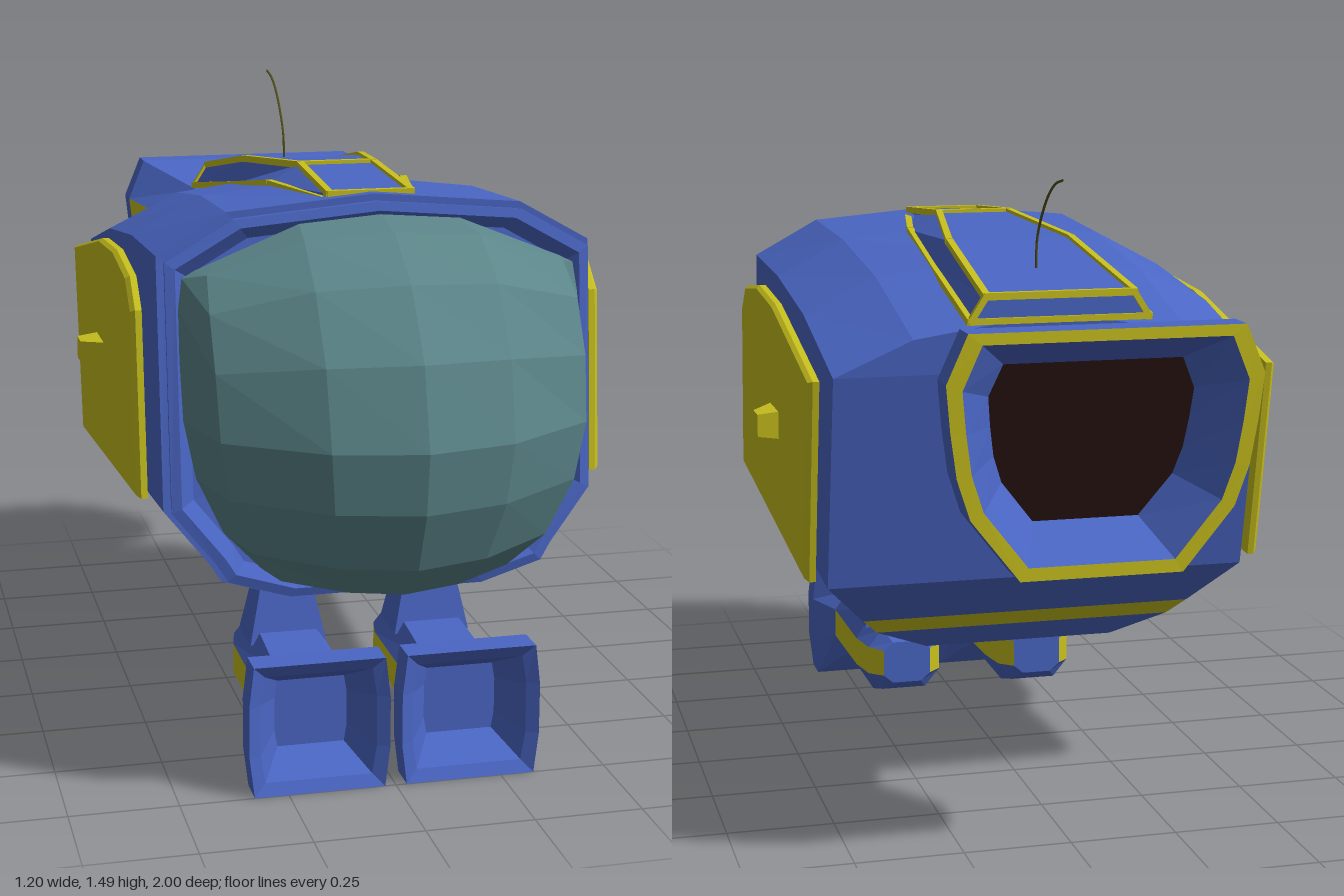
import * as THREE from 'three';

const mat = (color) => new THREE.MeshStandardMaterial({ color, flatShading: true, side: THREE.DoubleSide });
const blue = mat(0x4a66c4), yellow = mat(0xc8c01e), glass = mat(0x5c868a), dark = mat(0x241210), wire = mat(0x55511a);
const V = (x, y, z) => new THREE.Vector3(x, y, z);

function meshFrom(name, tris, material) {
  const geo = new THREE.BufferGeometry().setFromPoints(tris);
  geo.computeVertexNormals();
  const mesh = new THREE.Mesh(geo, material);
  mesh.name = name;
  return mesh;
}

// Skin between successive rings; keep(i) chooses the columns
function loft(name, rings, material, keep = () => true, closed = true) {
  const tris = [], n = rings[0].length;
  for (let r = 0; r < rings.length - 1; r++) {
    for (let i = 0; i < (closed ? n : n - 1); i++) {
      if (!keep(i)) continue;
      const j = (i + 1) % n, [a, b, c, d] = [rings[r][i], rings[r][j], rings[r + 1][j], rings[r + 1][i]];
      tris.push(a, d, c, a, c, b);
    }
  }
  return meshFrom(name, tris, material);
}

// Fan that closes a ring
function cap(name, ring, material, front) {
  const mid = ring.reduce((s, p) => s.add(p), V(0, 0, 0)).divideScalar(ring.length);
  const tris = [];
  ring.forEach((p, i) => {
    const q = ring[(i + 1) % ring.length];
    tris.push(mid, front ? p : q, front ? q : p);
  });
  return meshFrom(name, tris, material);
}

// Full counter-clockwise ring from its +x half, listed bottom to top
const mirrorRing = (half) =>
  [...half, ...[...half].reverse().filter((p) => p.x > 0).map((p) => V(-p.x, p.y, p.z))];

// Thin square bar between two points
function bar(name, a, b, size, material) {
  const mesh = new THREE.Mesh(new THREE.BoxGeometry(size, size, a.distanceTo(b) + size * 0.6), material);
  mesh.position.copy(a).lerp(b, 0.5);
  mesh.lookAt(b);
  mesh.name = name;
  return mesh;
}

function hull() {
  const g = new THREE.Group();
  g.name = 'hull';
  const front = [[.23, .43, .615], [.375, .475, .615], [.4, .515, .61], [.5, .64, .59], [.5, 1.21, .54], [.34, 1.3, .53], [0, 1.33, .53]]
    .map((p) => V(...p));
  const rear = [[.23, .35, -.29], [.36, .405, -.335], [.4, .445, -.37], [.5, .555, -.465], [.5, 1.06, -.57], [.32, 1.14, -.575], [0, 1.19, -.58]]
    .map((p) => V(...p));
  const halves = [[0, 0], [.32, .035], [.66, .04], [1, 0]].map(([t, arch]) =>
    front.map((p, i) => p.clone().lerp(rear[i], t).add(V(0, i > 3 ? arch : 0, 0))));
  const rings = halves.map(mirrorRing);
  const stripe = (i) => i === 1 || i === 10;
  g.add(loft('hullShell', rings, blue, (i) => !stripe(i)), loft('hullStripe', rings, yellow, stripe));
  // Rear wall in rows, so that the stripe wraps around it
  for (let i = 0; i < 6; i++) {
    const [a, b] = [rear[i], rear[i + 1]], [c, d] = [a, b].map((p) => V(-p.x, p.y, p.z));
    g.add(meshFrom(i === 1 ? 'rearStripe' : 'rearWall', [a, c, d, a, d, b], i === 1 ? yellow : blue));
  }
  // Window frame stepping inward from the front edge
  const inset = (s, dz) => rings[0].map((p) => V(p.x * s, .87 + (p.y - .87) * s, p.z + dz));
  const frame = [inset(.87, .02), inset(.93, .045), inset(.975, .04), inset(.965, 0), rings[0]];
  g.add(loft('windowFrame', frame, blue), cap('windowBacking', frame[0], blue, true));
  return g;
}

function windowDome() {
  // Rows: z, y, half width
  const rows = [[.575, 1.29, .42], [.7, 1.27, .45], [.84, 1.18, .46], [.95, 1.03, .46], [1, .85, .455],
    [.98, .71, .43], [.92, .57, .37], [.81, .48, .29], [.655, .445, .21]];
  // Columns: width share, depth share, height share above and below the middle
  const side = [[1, 0, .74, .93], [.9, .53, .78, .94], [.44, .89, .965, .98]];
  const cols = [...side.map(([x, ...k]) => [-x, ...k]), [0, 1, 1, 1], ...[...side].reverse()];
  const grid = rows.map(([z, y, w], r) => {
    const base = .575 + .065 * r / 8;
    return cols.map(([cx, kz, up, down]) =>
      V(w * cx, .87 + (y - .87) * (y > .87 ? up : down), base + (z - base) * kz));
  });
  return loft('windowDome', grid, glass, undefined, false);
}

function spine() {
  const g = new THREE.Group();
  g.name = 'spine';
  // z, top half width, top y, base half width, base y
  const secs = [[.485, .095, 1.325, .1, 1.31], [.16, .09, 1.347, .165, 1.305], [-.2, .15, 1.315, .185, 1.25], [-.635, .17, 1.24, .205, 1.185]];
  const rings = secs.map(([z, tw, ty, bw, by]) => [V(bw, by, z), V(tw, ty, z), V(-tw, ty, z), V(-bw, by, z)]);
  g.add(loft('spineShell', rings, blue), cap('spineFront', rings[0], blue, true), cap('spineRear', rings[3], blue, false));
  for (let r = 0; r < 3; r++)
    for (let i = 0; i < 4; i++) g.add(bar('spineTrim', rings[r][i], rings[r + 1][i], .016, yellow));
  for (const r of [0, 1, 3]) g.add(bar('spineCrossTrim', rings[r][1], rings[r][2], .016, yellow));
  for (const i of [0, 2, 3]) g.add(bar('spineEndTrim', rings[3][i], rings[3][(i + 1) % 4], .014, yellow));
  return g;
}

function antenna() {
  const path = new THREE.CatmullRomCurve3([V(0, 1.27, -.435), V(0, 1.34, -.44), V(0, 1.43, -.51), V(0, 1.475, -.58), V(0, 1.49, -.645)]);
  const mesh = new THREE.Mesh(new THREE.TubeGeometry(path, 16, .003, 5), wire);
  mesh.name = 'antenna';
  return mesh;
}

// Door plate with a wedge handle on one side
function sideDoor(s) {
  const g = new THREE.Group();
  g.name = s > 0 ? 'leftDoor' : 'rightDoor';
  const pts = [[-.45, .57], [-.54, 1.05], [-.03, 1.155], [.22, 1.17], [.42, 1.145], [.49, 1.08], [.53, .655]];
  const layer = (x, k) => pts.map(([z, y]) => V(s * x, .88 + (y - .88) * k, z * k));
  const rings = [layer(.525, 1), layer(.54, 1), layer(.55, .975)];
  if (s < 0) rings.forEach((r) => r.reverse());
  rings.reverse();
  g.add(loft('doorPlate', rings, yellow), cap('doorFace', rings[0], yellow, true), cap('doorBack', rings[2], yellow, false));
  const quad = (x, z0, z1, h) => [[z0, -h], [z0, h], [z1, h], [z1, -h]].map(([z, y]) => V(s * x, .872 + y, z));
  const handle = [quad(.6, -.1, -.035, .027), quad(.545, -.105, .025, .034)];
  if (s < 0) handle.forEach((r) => r.reverse());
  g.add(loft('doorHandle', handle, yellow), cap('handleTip', handle[0], yellow, true));
  return g;
}

function tailThruster() {
  const g = new THREE.Group();
  g.name = 'tailThruster';
  const neck = [[.13, .735], [.215, .86], [.24, .915], [.24, .995], [.235, 1.06], [.17, 1.16]];
  const waist = [[.13, .785], [.2, .87], [.235, .915], [.235, 1], [.23, 1.055], [.17, 1.145]];
  const rim = [[.18, .68], [.29, .82], [.32, .91], [.335, 1.01], [.345, 1.11], [.3, 1.215]];
  const ring = (pts, zTop, slope, k = 1) =>
    mirrorRing(pts.map(([x, y]) => V(x * k, .97 + (y - .97) * k, zTop + slope * (1.2 - y))));
  const rings = [ring(neck, -.6, .17), ring(neck, -.71, .2), ring(waist, -.83, .2), ring(rim, -.925, .1),
    ring(rim, -1, .065), ring(rim, -1, .065, .9), ring(rim, -.89, .1, .66)];
  const band = (i) => [1, 3, 7, 9].includes(i);
  g.add(loft('tailBody', rings.slice(0, 4), blue, (i) => !band(i)), loft('tailBands', rings.slice(0, 4), yellow, band));
  g.add(loft('tailRim', rings.slice(3, 5), blue), loft('tailRimEdge', rings.slice(4, 6), yellow));
  g.add(loft('tailFunnel', rings.slice(5), blue), cap('tailThroat', rings[6], dark, false), cap('tailFront', rings[0], blue, true));
  return g;
}

function lowerThruster(s) {
  const g = new THREE.Group();
  g.name = s > 0 ? 'leftLowerThruster' : 'rightLowerThruster';
  // z, centre y, half width, half height, corner share, band half height; throat out to rim, then back to the tip
  const secs = [[.65, .16, .085, .08, .92, .04], [.735, .157, .135, .127, .92, .06], [.75, .157, .163, .155, .93, .06],
    [.675, .157, .163, .155, .93, .06], [.62, .16, .11, .09, .65, .038], [.3, .17, .112, .107, .6, .036],
    [.22, .167, .095, .082, .6, .036], [.182, .167, .062, .055, .6, .034]];
  const rings = secs.map(([z, cy, w, h, k, b]) =>
    mirrorRing([V(w * k, cy - h, z), V(w, cy - b, z), V(w, cy + b, z), V(w * k, cy + h, z)]));
  const band = (i) => i === 1 || i === 5;
  g.add(cap('thrusterThroat', rings[0], blue, true), loft('thrusterRim', rings.slice(0, 5), blue));
  g.add(loft('thrusterBody', rings.slice(4), blue, (i) => !band(i)), loft('thrusterBand', rings.slice(4), yellow, band));
  g.add(cap('thrusterTip', rings[7], blue, false));
  // Tapered strut toward the hull
  const strutGeo = new THREE.CylinderGeometry(.085, .13, .15, 4).rotateY(Math.PI / 4).scale(1, 1, .75);
  const strut = new THREE.Mesh(strutGeo, blue);
  strut.name = 'thrusterStrut';
  strut.position.set(0, .315, .345);
  g.add(strut);
  g.position.x = s * .177;
  return g;
}

export function createModel() {
  const model = new THREE.Group();
  model.name = 'spacePod';
  model.add(hull(), windowDome(), spine(), antenna(), tailThruster());
  for (const s of [1, -1]) model.add(sideDoor(s), lowerThruster(s));
  return model;
}
